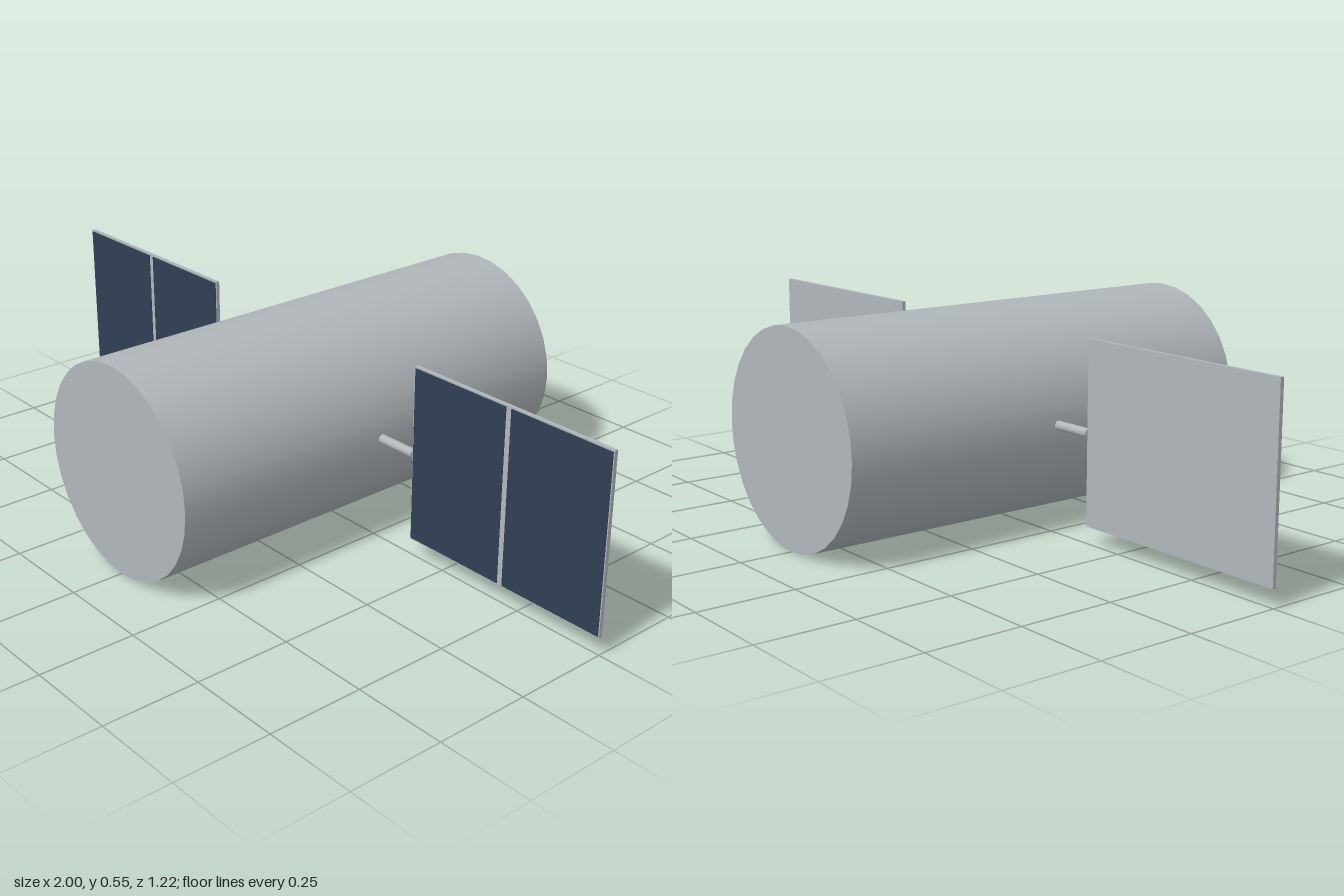
import * as THREE from 'three';

const grey = new THREE.MeshStandardMaterial({ color: 0xb0b7bb });
grey.name = 'satin grey';
const navy = new THREE.MeshStandardMaterial({ color: 0x303f55 });
navy.name = 'solar navy';

const RADIUS = 0.277, LENGTH = 1.22;
const PANEL_X = 0.695, PANEL_W = 0.61, PANEL_H = 0.467, PANEL_T = 0.01;

function addMesh(parent, name, geometry, material, x = 0, y = 0, z = 0) {
  const mesh = new THREE.Mesh(geometry, material);
  mesh.name = name;
  mesh.position.set(x, y, z);
  parent.add(mesh);
  return mesh;
}

export function createModel() {
  const model = new THREE.Group();
  model.name = 'satellite';

  // Main drum, lying along z
  const body = new THREE.CylinderGeometry(RADIUS, RADIUS, LENGTH, 32).rotateX(Math.PI / 2);
  addMesh(model, 'body', body, grey, 0, RADIUS, 0);

  for (const [side, s] of [['left', 1], ['right', -1]]) {
    const wing = new THREE.Group();
    wing.name = side + 'Wing';
    wing.position.y = RADIUS + 0.002;
    model.add(wing);

    // Strut from the drum to the panel
    const strut = new THREE.CylinderGeometry(0.012, 0.012, 0.13, 16).rotateZ(Math.PI / 2);
    addMesh(wing, 'strut', strut, grey, s * 0.325);

    // Backing plate, showing as rim and centre strip
    addMesh(wing, 'panel', new THREE.BoxGeometry(PANEL_W, PANEL_H, PANEL_T), grey, s * PANEL_X);

    // Two solar cell sheets on the front face only
    const cellW = PANEL_W / 2 - 0.011;
    for (const c of [-1, 1]) {
      addMesh(wing, 'solarCells', new THREE.BoxGeometry(cellW, PANEL_H - 0.008, 0.002), navy,
        s * PANEL_X + c * (cellW / 2 + 0.008), 0, PANEL_T / 2 + 0.0005);
    }
  }
  return model;
}
